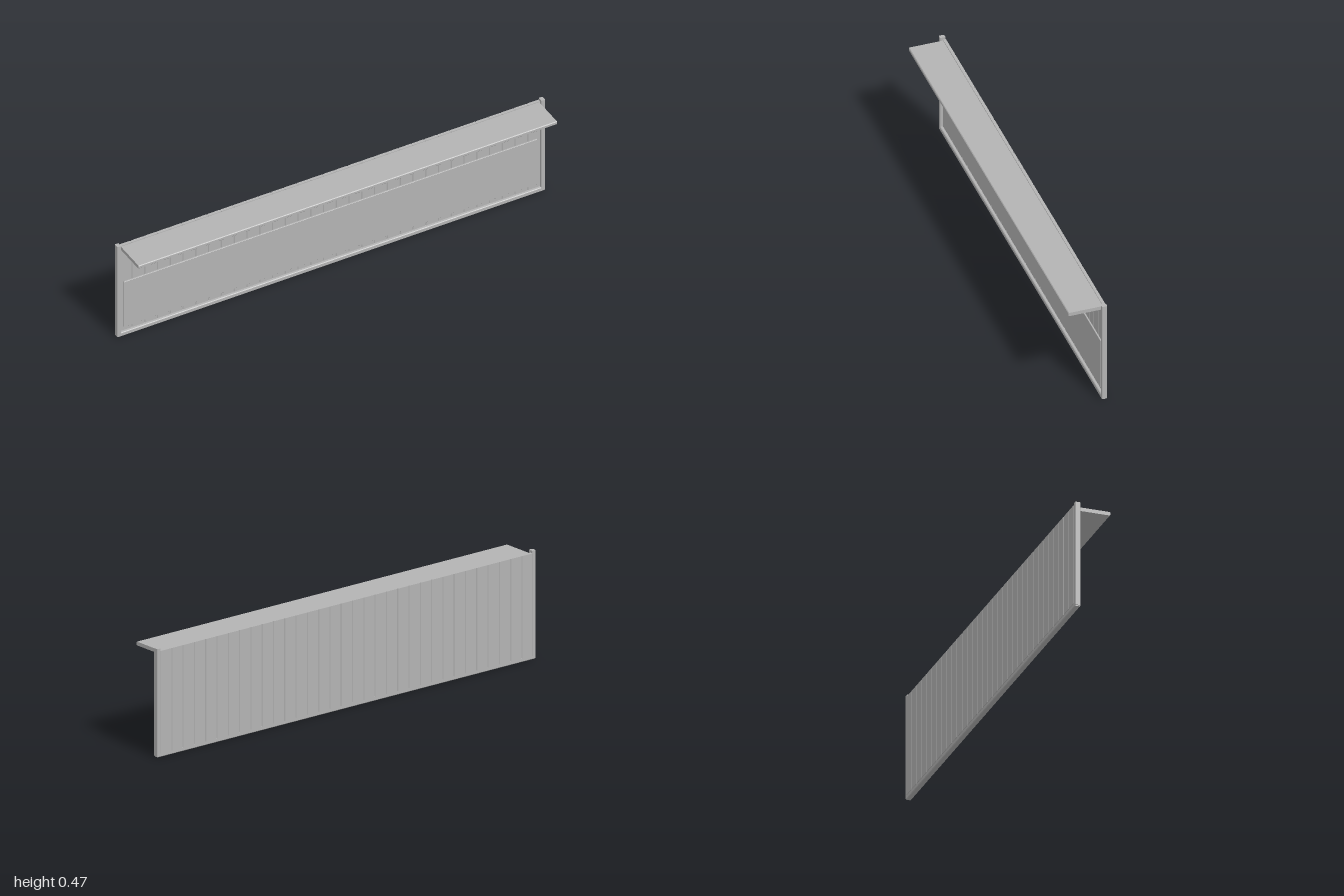
import * as THREE from 'three';

const grey = new THREE.MeshStandardMaterial({ color: 0xb3b3b3 });
grey.name = 'grey';

// Bar between two corners with chamfered long edges, extruded along one axis
function bar(name, min, max, axis, bevel) {
  const size = max.map((v, i) => v - min[i]);
  const [w, h, d] = axis === 'y' ? [size[0], size[2], size[1]]
    : axis === 'x' ? [size[2], size[1], size[0]] : size;
  const a = w / 2, b = h / 2, c = bevel;
  const shape = new THREE.Shape([
    [-a + c, -b], [a - c, -b], [a, -b + c], [a, b - c],
    [a - c, b], [-a + c, b], [-a, b - c], [-a, -b + c],
  ].map(([x, y]) => new THREE.Vector2(x, y)));
  const geo = new THREE.ExtrudeGeometry(shape, { depth: d, bevelEnabled: false });
  geo.translate(0, 0, -d / 2);
  if (axis === 'y') geo.rotateX(-Math.PI / 2);
  if (axis === 'x') geo.rotateY(Math.PI / 2);
  const mesh = new THREE.Mesh(geo, grey);
  mesh.name = name;
  mesh.position.set(...min.map((v, i) => (v + max[i]) / 2));
  return mesh;
}

export function createModel() {
  const model = new THREE.Group();
  model.name = 'pictureLedgePanel';

  // Vertical planks with V joints between them
  const planks = new THREE.Group();
  planks.name = 'planks';
  const count = 33, step = 0.0597;
  for (let i = 0; i < count; i++) {
    const x = (i - (count - 1) / 2) * step;
    planks.add(bar('plank', [x - step / 2, 0.016, -0.081], [x + step / 2, 0.456, -0.068], 'y', 0.003));
  }
  model.add(planks);

  // End posts, rising a little above the planks
  for (const s of [-1, 1]) {
    const x0 = s < 0 ? -1 : 0.982;
    model.add(bar(s < 0 ? 'rightPost' : 'leftPost', [x0, 0.004, -0.079], [x0 + 0.018, 0.466, -0.056], 'y', 0.002));
  }

  // Bottom rail
  model.add(bar('bottomRail', [-0.996, 0, -0.079], [0.996, 0.02, -0.056], 'x', 0.003));

  // Smooth board over the lower part of the planks
  model.add(bar('frontBoard', [-0.965, 0.04, -0.069], [0.965, 0.27, -0.062], 'x', 0.001));

  // Shelf projecting from the top
  model.add(bar('shelf', [-0.978, 0.438, -0.07], [0.978, 0.454, 0.081], 'x', 0.003));

  return model;
}
